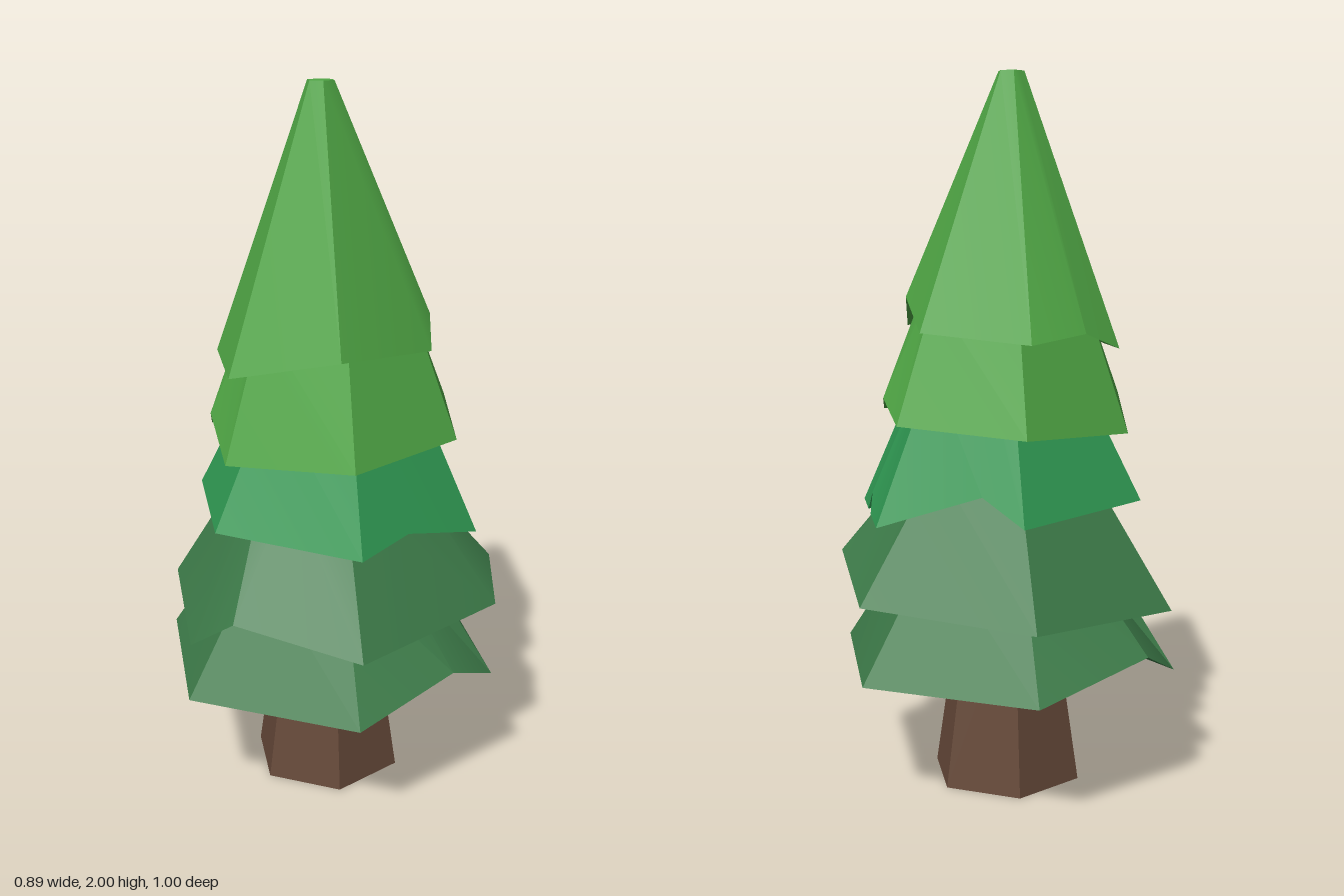
import * as THREE from 'three';
import { toCreasedNormals } from 'three/addons/utils/BufferGeometryUtils.js';

const SIXTH = Math.PI / 3;

// Skins a chain of equally long point rings; the first and last rings are poles.
function skinRings(rings) {
  const pos = [];
  const n = rings[0].length;
  for (let k = 0; k < rings.length - 1; k++) {
    for (let i = 0; i < n; i++) {
      const j = (i + 1) % n;
      const [a, b, c, d] = [rings[k][i], rings[k][j], rings[k + 1][j], rings[k + 1][i]];
      if (k > 0) pos.push(...a, ...b, ...d);
      if (k < rings.length - 2) pos.push(...b, ...c, ...d);
    }
  }
  const geo = new THREE.BufferGeometry();
  geo.setAttribute('position', new THREE.Float32BufferAttribute(pos, 3));
  return toCreasedNormals(geo, 0.5);
}

// Hollow six-sided foliage tier. x: centre, w: half width, r: half depth,
// heights: rim height at the front, +x, back and -x corners,
// notches: extra raised rim points between the corners.
function makeTier(name, color, { x, w, r, heights, notches, topY, topR, ceiling }) {
  const angleOf = (p) => THREE.MathUtils.euclideanModulo(Math.atan2(p[0] - x, p[2]), 2 * Math.PI);
  const corners = [0, 1, 1, 2, 3, 3].map((side, k) => [
    x + (w * Math.sin(k * SIXTH)) / Math.sin(SIXTH),
    heights[side],
    r * Math.cos(k * SIXTH),
  ]);
  const rim = [...corners, ...notches].sort((p, q) => angleOf(p) - angleOf(q));

  // Point of the top hexagon in the direction of a rim point
  const onTop = (p) => {
    const angle = angleOf(p);
    const d = (topR * Math.cos(SIXTH / 2)) / Math.cos((angle % SIXTH) - SIXTH / 2);
    return [x + d * Math.sin(angle), topY, d * Math.cos(angle)];
  };
  const shrink = (p, s, y) => [x + (p[0] - x) * s, y, p[2] * s];

  const geo = skinRings([
    rim.map(() => [x, ceiling, 0]), // recessed underside
    rim.map((p) => shrink(p, 0.58, ceiling)),
    rim.map((p) => shrink(p, 0.82, p[1] + 0.025)), // inner lip
    rim,
    rim.map(onTop),
    rim.map(() => [x, topY, 0]),
  ]);
  const mesh = new THREE.Mesh(geo, new THREE.MeshStandardMaterial({ color }));
  mesh.name = name;
  return mesh;
}

export function createModel() {
  const tree = new THREE.Group();
  tree.name = 'pineTree';

  // Tapered six-sided trunk
  const trunk = new THREE.Mesh(
    new THREE.CylinderGeometry(0.135, 0.22, 0.56, 6),
    new THREE.MeshStandardMaterial({ color: 0x664939, flatShading: true })
  );
  trunk.name = 'trunk';
  trunk.position.set(-0.02, 0.28, 0);
  tree.add(trunk);

  // Foliage, bottom to top
  tree.add(
    makeTier('bottomTier', 0x3d7b49, {
      x: -0.017, w: 0.433, r: 0.5, heights: [0.36, 0.36, 0.36, 0.36],
      notches: [[0.27, 0.44, 0.37], [-0.34, 0.44, -0.37]],
      topY: 0.72, topR: 0.26, ceiling: 0.52,
    }),
    makeTier('lowerTier', 0x3d7b49, {
      x: -0.01, w: 0.43, r: 0.5, heights: [0.56, 0.58, 0.555, 0.53],
      notches: [[0.445, 0.66, 0.09], [-0.335, 0.64, 0.37]],
      topY: 0.94, topR: 0.24, ceiling: 0.72,
    }),
    makeTier('middleTier', 0x2f9852, {
      x: 0.005, w: 0.365, r: 0.405, heights: [0.81, 0.785, 0.81, 0.835],
      notches: [
        [0.15, 0.84, 0.31], [0.1, 0.88, -0.31],
        [0.37, 0.785, 0.05], [0.36, 0.84, 0.02], [0.37, 0.785, -0.02],
      ],
      topY: 1.2, topR: 0.23, ceiling: 0.94,
    }),
    makeTier('upperTier', 0x50a745, {
      x: -0.008, w: 0.318, r: 0.37, heights: [1.04, 1.055, 1.035, 1.02],
      notches: [[0.333, 1.115, -0.05], [-0.345, 1.11, 0]],
      topY: 1.4, topR: 0.24, ceiling: 1.18,
    }),
    makeTier('crownTier', 0x50a745, {
      x: -0.033, w: 0.275, r: 0.3, heights: [1.32, 1.3, 1.275, 1.25],
      notches: [[0.255, 1.385, 0.07], [-0.19, 1.3, -0.25]],
      topY: 2, topR: 0.038, ceiling: 1.42,
    })
  );
  return tree;
}
